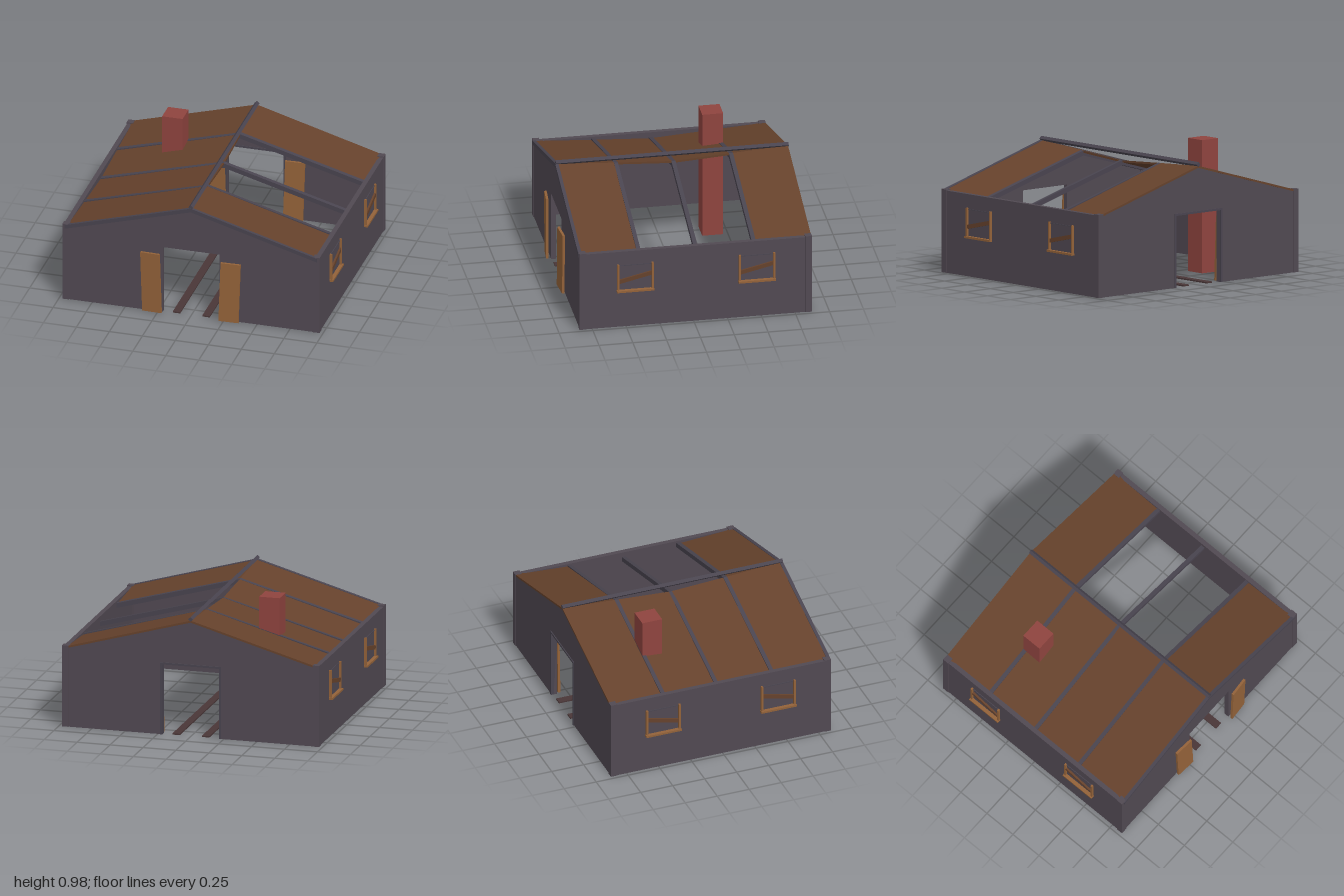
import * as THREE from 'three';

const mat = (name, color, side = THREE.FrontSide) => {
  const m = new THREE.MeshStandardMaterial({ color, side });
  m.name = name;
  return m;
};

export function createModel() {
  const root = new THREE.Group();
  root.name = 'ruinedHouse';
  const wall = mat('greyWall', 0x514952);
  const beam = mat('darkBeam', 0x49444f);
  const boards = mat('brownBoards', 0x66422c);
  const wood = mat('lightWood', 0x936239);
  const brick = mat('redBrick', 0x8f443f);
  const rail = mat('darkFloorWood', 0x493637);

  const add = (name, geo, m, parent = root) => {
    const mesh = new THREE.Mesh(geo, m);
    mesh.name = name;
    parent.add(mesh);
    return mesh;
  };
  // Box given by its minimum and maximum on each axis
  const box = (name, m, x0, x1, y0, y1, z0, z1, parent) => {
    const mesh = add(name, new THREE.BoxGeometry(x1 - x0, y1 - y0, z1 - z0), m, parent);
    mesh.position.set((x0 + x1) / 2, (y0 + y1) / 2, (z0 + z1) / 2);
    return mesh;
  };

  // Gable walls with a doorway
  const outline = [[-0.97, 0], [-0.215, 0], [-0.215, 0.53], [0.215, 0.53], [0.215, 0],
    [0.97, 0], [0.97, 0.59], [0, 0.867], [-0.97, 0.59]];
  const gable = new THREE.Shape(outline.map(p => new THREE.Vector2(...p)));
  for (const [name, z] of [['frontWall', 0.805], ['backWall', -0.87]]) {
    add(name, new THREE.ExtrudeGeometry(gable, { depth: 0.035, bevelEnabled: false }), wall).position.z = z;
  }

  // Side walls and corner posts
  for (const s of [-1, 1]) {
    const x = s * 0.9525;
    box('sideWall', wall, x - 0.0175, x + 0.0175, 0, 0.605, -0.84, 0.81);
    for (const z of [-0.85, 0.82]) {
      const px = s * 0.95;
      box('cornerPost', wall, px - 0.025, px + 0.025, 0, 0.613, z - 0.025, z + 0.025);
    }
  }

  // Frame around the back doorway
  box('backLintel', beam, -0.23, 0.23, 0.53, 0.545, -0.877, -0.83);
  for (const s of [-1, 1]) {
    box('backJamb', beam, s * 0.2225 - 0.0075, s * 0.2225 + 0.0075, 0, 0.53, -0.877, -0.83);
  }

  // Sloping roof piece that follows the sagging roof surface
  const sag = z => 0.055 * Math.max(0, 1 - Math.abs(z) / 0.85);
  const roofPiece = (name, m, s, z0, z1, eaveTop, ridgeTop, thick) => {
    let geo = new THREE.BoxGeometry(0.955, thick, z1 - z0);
    geo.translate(s * 0.4775, -thick / 2, (z0 + z1) / 2);
    const p = geo.attributes.position;
    for (let i = 0; i < p.count; i++) {
      const x = Math.abs(p.getX(i));
      const lift = THREE.MathUtils.lerp(ridgeTop, eaveTop, x / 0.955);
      p.setY(i, p.getY(i) + 0.877 - 0.285 * x - sag(p.getZ(i)) + lift);
    }
    geo = geo.toNonIndexed();
    geo.computeVertexNormals();
    add(name, geo, m);
  };

  // Roof bays: the left slope has lost its two middle panels
  const bays = [-0.872, -0.45, -0.025, 0.4, 0.838];
  for (let i = 0; i < 4; i++) {
    roofPiece('roofPanel', boards, -1, bays[i], bays[i + 1], 0, 0, 0.015);
    if (i === 0 || i === 3) roofPiece('roofPanel', boards, 1, bays[i], bays[i + 1], 0, 0, 0.015);
  }
  for (const s of [-1, 1]) {
    for (const z of bays.slice(1, 4)) {
      roofPiece('rafter', beam, s, z - 0.015, z + 0.015, 0.01, 0.001, 0.036);
    }
    roofPiece('frontRafter', beam, s, 0.825, 0.85, 0.003, 0.003, 0.03);
  }
  const ridge = add('ridgeBeam', new THREE.BoxGeometry(0.026, 0.026, 1.722), beam);
  ridge.position.set(0, 0.887, -0.014);
  ridge.rotation.z = Math.PI / 4;

  // Chimney
  box('chimney', brick, -0.555, -0.4, 0, 0.98, -0.465, -0.31);

  // Leaning doors: outside the front wall, inside the back wall
  for (const s of [-1, 1]) {
    for (const z of [0.861, -0.818]) {
      const door = add('door', new THREE.BoxGeometry(0.148, 0.475, 0.018), wood);
      door.position.set(s * 0.298, 0.241, z);
      door.rotation.set(0, s * 0.09, -s * 0.033);
    }
  }

  // Side windows: sill, posts and one slanted board
  for (const s of [-1, 1]) {
    for (const z of [0.432, -0.467]) {
      const win = new THREE.Group();
      win.name = 'window';
      win.position.set(s * 0.97, 0, z);
      root.add(win);
      const part = (name, m, out, y0, y1, z0, z1) =>
        box(name, m, s > 0 ? -0.002 : -out, s > 0 ? out : 0.002, y0, y1, z0, z1, win);
      part('windowSill', wood, 0.028, 0.284, 0.299, -0.138, 0.138);
      part('windowPost', wood, 0.017, 0.299, 0.505, 0.12, 0.134);
      part('windowPost', wood, 0.017, 0.299, 0.505, -0.134, -0.12);
      part('windowHead', beam, 0.006, 0.492, 0.497, -0.12, 0.12);
      part('slantedBoard', boards, 0.014, 0.379, 0.409, -0.124, 0.124).rotation.x = 0.23;
    }
  }

  // Two floor boards running through the doorways
  for (const s of [-1, 1]) {
    box('floorBoard', rail, s * 0.112 - 0.028, s * 0.112 + 0.028, 0.002, 0.012, -0.865, 0.835);
  }
  return root;
}
